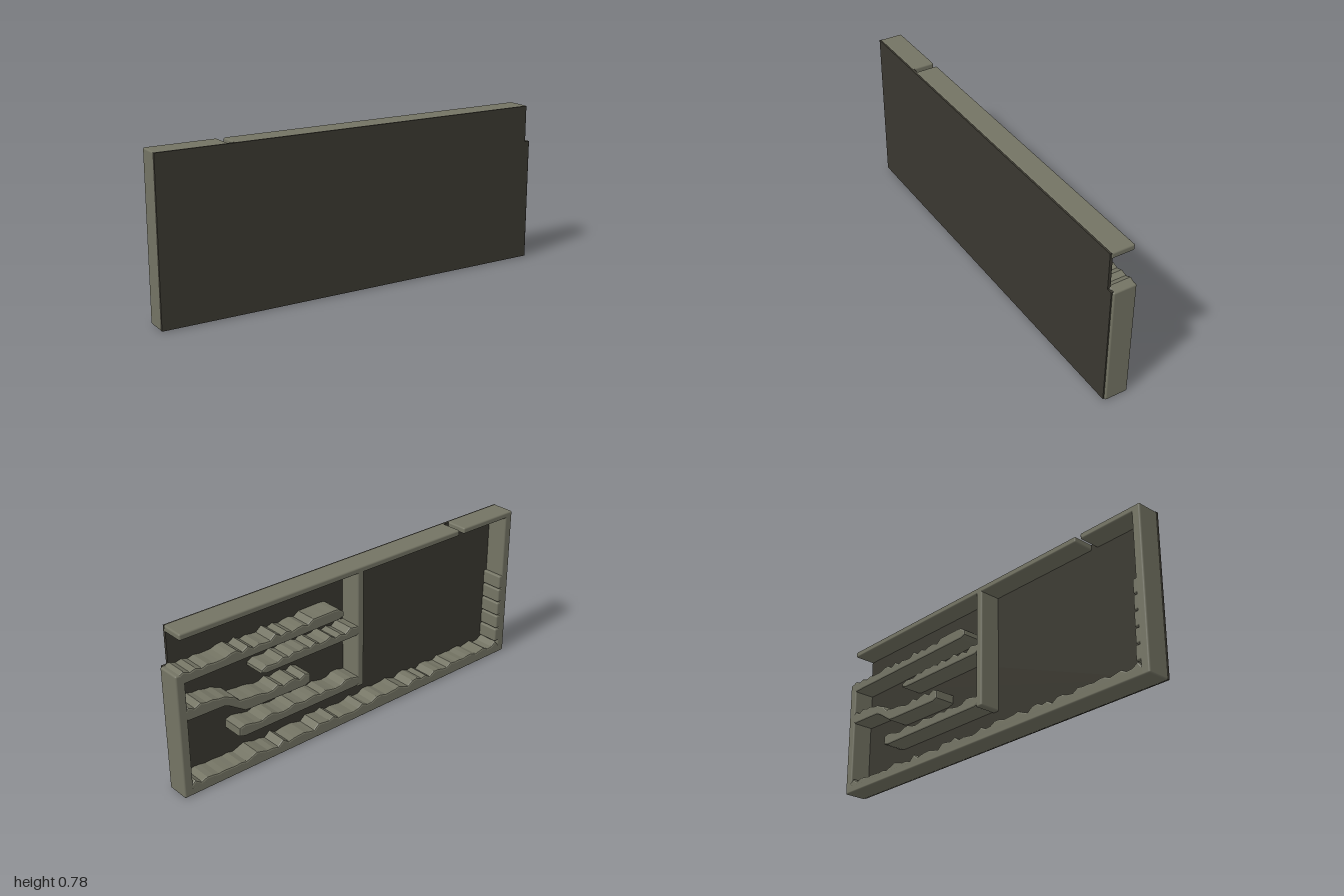
import * as THREE from 'three';
import { RoundedBoxGeometry } from 'three/addons/geometries/RoundedBoxGeometry.js';

const BACK = -0.06, SEAT = 0.046, FRONT = 0.06;

// Small seeded generator for the ragged edges
let seed = 7;
function rnd() {
  seed = (seed * 16807) % 2147483647;
  return seed / 2147483647;
}

export function createModel() {
  const model = new THREE.Group();
  const plateMat = new THREE.MeshStandardMaterial({ color: 0x3a3830 });
  plateMat.name = 'dark olive';
  const wallMat = new THREE.MeshStandardMaterial({ color: 0x747464 });
  wallMat.name = 'grey olive';

  function add(name, geometry, material) {
    const mesh = new THREE.Mesh(geometry, material);
    mesh.name = name;
    model.add(mesh);
  }

  // Smooth wall between two x and two y values, standing on the plate
  function wall(name, x0, x1, y0, y1) {
    const g = new RoundedBoxGeometry(x1 - x0, y1 - y0, SEAT - BACK + 0.008, 3, 0.008);
    g.translate((x0 + x1) / 2, (y0 + y1) / 2, (SEAT + BACK + 0.008) / 2);
    add(name, g, wallMat);
  }

  // Bar along a list of [x, y] centre points, its upper edge worn ragged
  function raggedBar(name, points, height, roughness) {
    const path = new THREE.CurvePath();
    const v = points.map(([x, y]) => new THREE.Vector2(x, y));
    for (let i = 1; i < v.length; i++) path.add(new THREE.LineCurve(v[i - 1], v[i]));
    const n = Math.max(12, Math.round(path.getLength() / 0.03));
    const centre = path.getSpacedPoints(n);
    const upper = [], lower = [];
    centre.forEach((p, i) => {
      const end = i === 0 || i === n ? 0.6 : 1;
      lower.push(new THREE.Vector2(p.x, p.y - height / 2 * end));
      upper.push(new THREE.Vector2(p.x, p.y + height / 2 * end + (rnd() - 0.5) * roughness));
    });
    const shape = new THREE.Shape(lower.concat(upper.reverse()));
    const bevel = 0.008;
    const g = new THREE.ExtrudeGeometry(shape, {
      depth: SEAT - BACK - bevel, bevelThickness: bevel, bevelSize: bevel,
      bevelOffset: -bevel, bevelSegments: 2
    });
    g.translate(0, 0, BACK + bevel);
    add(name, g, wallMat);
  }

  // Flat front plate with a shallow notch in its upper left corner
  const outline = new THREE.Shape();
  [[-1, 0.003], [0.99, 0.003], [0.99, 0.6], [0.965, 0.6], [0.965, 0.78], [-1, 0.78]]
    .forEach(([x, y], i) => (i ? outline.lineTo(x, y) : outline.moveTo(x, y)));
  const plate = new THREE.ExtrudeGeometry(outline, { depth: FRONT - SEAT, bevelEnabled: false });
  plate.translate(0, 0, SEAT);
  add('frontPlate', plate, plateMat);

  // Outer walls, with a narrow break in the top rail
  wall('topRailLong', -0.63, 0.968, 0.752, 0.782);
  wall('topRailShort', -1, -0.66, 0.752, 0.782);
  wall('rightWall', -1, -0.955, 0, 0.78);
  wall('leftWall', 0.955, 1, 0, 0.6);
  wall('bottomWall', -1, 1, 0, 0.04);
  raggedBar('bottomWallWornEdge', [[-0.97, 0.04], [0.97, 0.04]], 0.03, 0.03);

  // Worn inner edge of the right wall
  for (let i = 0; i < 5; i++) {
    const y = 0.07 + i * 0.075;
    wall('rightWallWornEdge', -0.98, -0.945 + rnd() * 0.015, y, y + 0.07);
  }

  // Inner partition and the staggered bars
  wall('middleWall', -0.02, 0.018, 0.17, 0.77);
  raggedBar('upperLeftBar', [[0.99, 0.575], [0.1, 0.585]], 0.048, 0.025);
  raggedBar('upperMiddleBar', [[0.57, 0.465], [0, 0.465]], 0.045, 0.025);
  raggedBar('steppedBar', [[0.98, 0.4], [0.76, 0.395], [0.66, 0.33], [0.3, 0.325]], 0.055, 0.02);
  raggedBar('lowerMiddleBar', [[0.7, 0.2], [0, 0.2]], 0.048, 0.025);

  return model;
}
